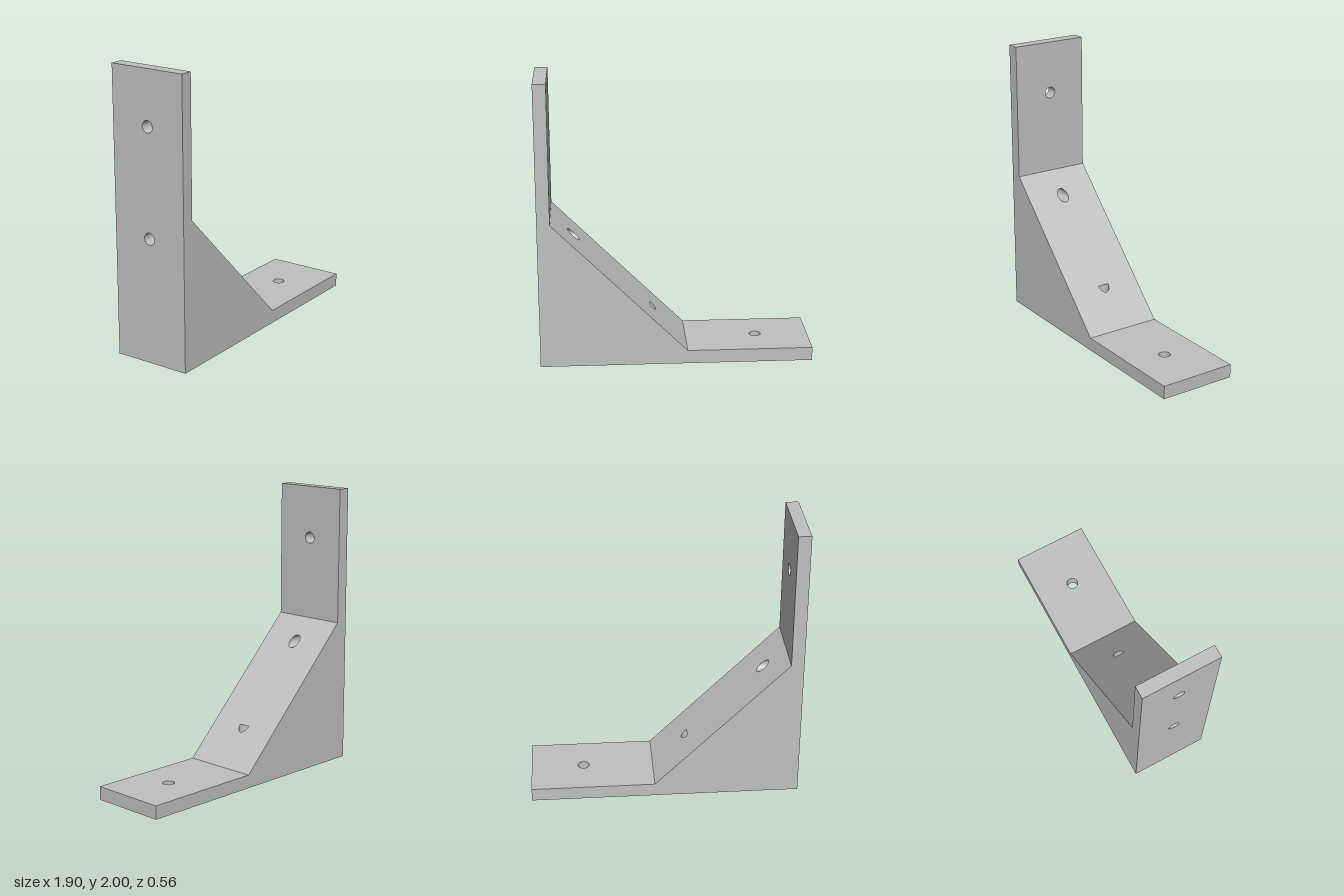
import * as THREE from 'three';

const W = 0.278;       // half depth
const R = 0.041;       // bolt hole radius
const SEG = 32;
const SLOPE = 0.17;    // the gusset's sloping face lies on x + y = SLOPE
const LOW_X = -0.175;  // blind bolt hole under the slope
const LOW_TOP = SLOPE - LOW_X;

// Side outline, counter-clockwise from the outer corner
const OUTLINE = [
  [-0.95, 0], [0.95, 0], [0.95, 0.095], [0.075, 0.095],
  [-0.86, 1.03], [-0.86, 2], [-0.95, 2],
].map(([x, y]) => new THREE.Vector2(x, y));

// Faces between successive outline points; holes are [x, y, stretch, half only]
const FACES = [
  { name: 'baseUnderside', holes: [[0.575, 0, 1], [LOW_X, 0, 1]] },
  { name: 'baseEnd', holes: [] },
  { name: 'baseTop', holes: [[0.575, 0.095, 1]] },
  { name: 'gussetSlope', holes: [[LOW_X, LOW_TOP, Math.SQRT2, true], [SLOPE - 0.875, 0.875, Math.SQRT2]] },
  { name: 'uprightInnerFace', holes: [[-0.86, 1.625, 1]] },
  { name: 'uprightTop', holes: [] },
  { name: 'uprightOuterFace', holes: [[-0.95, 1.625, 1], [-0.95, 0.875, 1]] },
];

// Full or lower-half ellipse, as a hole in a face
function holePath(s, stretch, half) {
  const n = half ? SEG / 2 : SEG;
  const pts = [];
  for (let i = 0; i < n + (half ? 1 : 0); i++) {
    const t = Math.PI / 2 + (i / SEG) * Math.PI * 2;
    pts.push(new THREE.Vector2(s + R * stretch * Math.cos(t), R * Math.sin(t)));
  }
  return new THREE.Path(pts);
}

// Rectangular face standing on one outline edge
function faceGeometry(p, q, holes) {
  const d = q.clone().sub(p);
  const len = d.length();
  d.normalize();
  const shape = new THREE.Shape([
    new THREE.Vector2(0, -W), new THREE.Vector2(len, -W),
    new THREE.Vector2(len, W), new THREE.Vector2(0, W),
  ]);
  for (const [x, y, stretch, half] of holes) {
    shape.holes.push(holePath(Math.hypot(x - p.x, y - p.y), stretch, half));
  }
  const m = new THREE.Matrix4().makeBasis(
    new THREE.Vector3(d.x, d.y, 0),
    new THREE.Vector3(0, 0, 1),
    new THREE.Vector3(d.y, -d.x, 0),
  ).setPosition(p.x, p.y, 0);
  return new THREE.ShapeGeometry(shape).applyMatrix4(m);
}

// Open tube along y from start to end(x), where the end may be cut at a slant
function boreGeometry(centre, start, end) {
  const g = new THREE.CylinderGeometry(R, R, 1, SEG, 1, true);
  const pos = g.attributes.position;
  for (let i = 0; i < pos.count; i++) {
    pos.setY(i, pos.getY(i) > 0 ? end(centre + pos.getX(i)) : start);
    pos.setX(i, centre + pos.getX(i));
  }
  return g;
}

export function createModel() {
  const model = new THREE.Group();
  model.name = 'cornerBracket';
  const grey = new THREE.MeshStandardMaterial({ color: 0xc0c0c0, side: THREE.DoubleSide });
  grey.name = 'grey';
  const add = (name, geometry) => {
    const mesh = new THREE.Mesh(geometry, grey);
    mesh.name = name;
    model.add(mesh);
  };

  // Flat sides
  add('frontSide', new THREE.ShapeGeometry(new THREE.Shape(OUTLINE)).translate(0, 0, W));
  const mirrored = OUTLINE.map((v) => new THREE.Vector2(-v.x, v.y)).reverse();
  add('backSide', new THREE.ShapeGeometry(new THREE.Shape(mirrored)).rotateY(Math.PI).translate(0, 0, -W));

  // Faces around the outline
  FACES.forEach(({ name, holes }, i) => {
    add(name, faceGeometry(OUTLINE[i], OUTLINE[(i + 1) % OUTLINE.length], holes));
  });

  // Vertical bolt holes
  add('baseOuterBore', boreGeometry(0.575, 0, () => 0.095));
  add('baseInnerBore', boreGeometry(LOW_X, 0, (x) => Math.min(LOW_TOP, SLOPE - x)));
  const cap = new THREE.CircleGeometry(R, SEG / 2, Math.PI / 2, Math.PI);
  add('baseInnerBoreEnd', cap.rotateX(Math.PI / 2).translate(LOW_X, LOW_TOP, 0));

  // Horizontal bolt holes: bored along y, then turned so that y becomes x and x becomes -y
  const sideways = (y, end) => boreGeometry(-y, -0.95, end).rotateZ(-Math.PI / 2);
  add('uprightUpperBore', sideways(1.625, () => -0.86));
  add('uprightLowerBore', sideways(0.875, (minusY) => SLOPE + minusY));

  return model;
}
